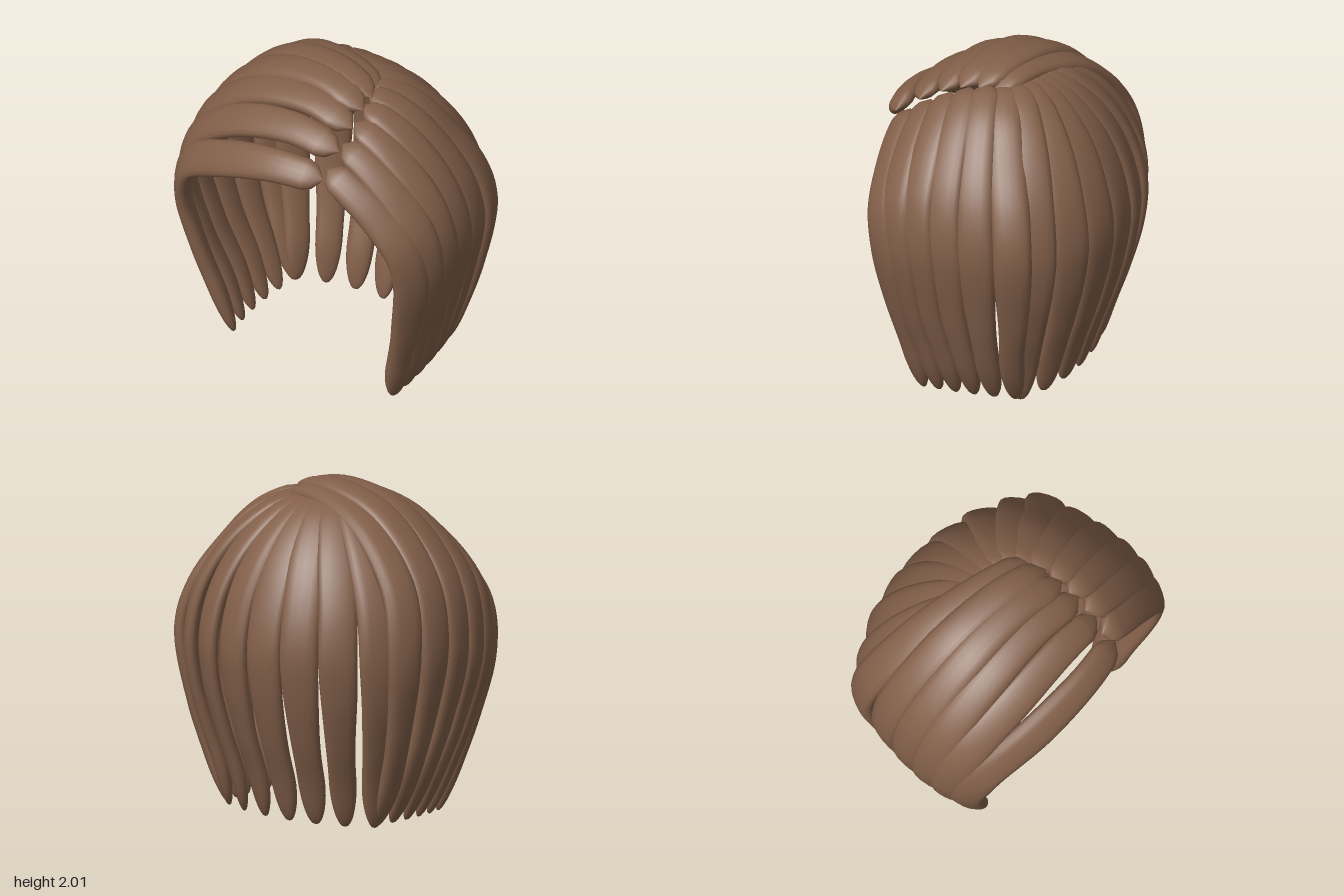
import * as THREE from 'three';

const RINGS = 56, SIDES = 16;
const { clamp, lerp, smoothstep } = THREE.MathUtils;

// Flattened lock of hair swept along a path, its broad face turned away from the head
function lockGeometry(points, wTop, wMid, wTip, thick) {
  const curve = new THREE.CatmullRomCurve3(points, false, 'centripetal');
  const pos = [], index = [];
  for (let i = 0; i <= RINGS; i++) {
    const t = 1 - Math.pow(1 - i / RINGS, 1.35); // rings crowd toward the tip
    const p = curve.getPointAt(t), T = curve.getTangentAt(t);
    const N = new THREE.Vector3(p.x, p.y - Math.min(p.y, 1), p.z);
    N.addScaledVector(T, -N.dot(T)).normalize();
    const S = new THREE.Vector3().crossVectors(N, T);
    const root = Math.sqrt(clamp(t / 0.04, 0, 1));
    const tip = t > 0.86 ? Math.sqrt(Math.max(0, 1 - ((t - 0.86) / 0.14) ** 2)) : 1;
    const w = lerp(lerp(wTop, wMid, smoothstep(t, 0, 0.3)), wTip, smoothstep(t, 0.5, 0.85)) * root * tip;
    const h = thick * root * tip;
    for (let j = 0; j < SIDES; j++) {
      const a = j / SIDES * Math.PI * 2, c = Math.cos(a), s = Math.sin(a);
      const q = p.clone()
        .addScaledVector(S, w * Math.sign(c) * Math.abs(c) ** 0.85)
        .addScaledVector(N, h * Math.sign(s) * Math.abs(s) ** 0.85);
      pos.push(q.x, q.y, q.z);
      if (i < RINGS) {
        const k = (j + 1) % SIDES, A = i * SIDES + j, B = i * SIDES + k;
        index.push(A, B, A + SIDES, B, B + SIDES, A + SIDES);
      }
    }
  }
  const g = new THREE.BufferGeometry();
  g.setAttribute('position', new THREE.Float32BufferAttribute(pos, 3));
  g.setIndex(index);
  g.computeVertexNormals();
  return g;
}

// Blend three guide paths (front, middle, rear) at u = 0..1
function blend(guides, u) {
  const k = [2 * (u - 0.5) * (u - 1), 4 * u * (1 - u), 2 * u * (u - 0.5)];
  return guides[0].map((_, i) => {
    const v = new THREE.Vector3();
    guides.forEach((g, n) => v.addScaledVector(new THREE.Vector3(...g[i]), k[n]));
    return v;
  });
}

// Guides from the parting, over the side of the head, down to the tips
const rightGuides = [
  [[0.31, 1.65, 0.63], [0, 1.65, 0.67], [-0.4, 1.52, 0.64], [-0.73, 1.29, 0.54],
    [-0.81, 1.0, 0.47], [-0.73, 0.62, 0.42], [-0.63, 0.3, 0.37], [-0.54, 0.02, 0.33]],
  [[0.31, 1.88, 0.27], [0, 1.94, 0.22], [-0.42, 1.84, 0.2], [-0.78, 1.5, 0.17],
    [-0.88, 1.1, 0.14], [-0.79, 0.65, 0.1], [-0.68, 0.32, 0.05], [-0.56, 0.03, 0.04]],
  [[0.27, 1.91, 0], [0, 1.94, -0.08], [-0.4, 1.82, -0.2], [-0.72, 1.48, -0.32],
    [-0.8, 1.1, -0.38], [-0.73, 0.65, -0.34], [-0.63, 0.32, -0.29], [-0.52, 0.04, -0.27]],
];
const leftGuides = [
  [[0.28, 1.67, 0.55], [0.45, 1.58, 0.55], [0.62, 1.45, 0.53], [0.78, 1.25, 0.5],
    [0.82, 1.0, 0.46], [0.75, 0.62, 0.41], [0.66, 0.3, 0.36], [0.59, 0.01, 0.31]],
  [[0.28, 1.88, 0.22], [0.5, 1.77, 0.2], [0.7, 1.58, 0.18], [0.83, 1.36, 0.16],
    [0.875, 1.1, 0.13], [0.79, 0.65, 0.1], [0.69, 0.32, 0.06], [0.59, 0.03, 0.04]],
  [[0.18, 1.92, -0.02], [0.42, 1.81, -0.14], [0.6, 1.6, -0.24], [0.74, 1.36, -0.33],
    [0.8, 1.1, -0.37], [0.73, 0.65, -0.34], [0.64, 0.32, -0.29], [0.54, 0.04, -0.27]],
];

// Back profile: sideways spread, height, depth
const backProfile = [[0.22, 1.92, -0.08], [0.45, 1.85, -0.28], [0.72, 1.66, -0.48], [0.92, 1.4, -0.62],
  [1, 1.12, -0.685], [0.99, 0.85, -0.66], [0.91, 0.55, -0.58], [0.82, 0.27, -0.48], [0.78, 0.03, -0.42]];

export function createModel() {
  const model = new THREE.Group();
  model.name = 'hair';
  const brown = new THREE.MeshStandardMaterial({ color: 0x825f49 });
  brown.name = 'brown hair';

  const addLock = (name, group, points, ...size) => {
    const mesh = new THREE.Mesh(lockGeometry(points, ...size), brown);
    mesh.name = name;
    group.add(mesh);
  };

  // Side locks swept away from the parting
  for (const [name, guides] of [['rightSide', rightGuides], ['leftSide', leftGuides]]) {
    const group = new THREE.Group();
    group.name = name;
    for (let i = 0; i < 6; i++) {
      addLock(`${name}Lock${i + 1}`, group, blend(guides, i / 5), 0.095, 0.115, 0.075, 0.05);
    }
    model.add(group);
  }

  // Back locks fanning down from the crown
  const back = new THREE.Group();
  back.name = 'back';
  [-0.67, -0.465, -0.235, 0, 0.235, 0.465, 0.67].forEach((x, i) => {
    const round = Math.sqrt(1 - (x / 0.92) ** 2);
    const points = backProfile.map(([f, y, z]) => new THREE.Vector3(x * f, y, z * round));
    addLock(`backLock${i + 1}`, back, points, 0.1, 0.117, 0.082, 0.045);
  });
  model.add(back);
  return model;
}
